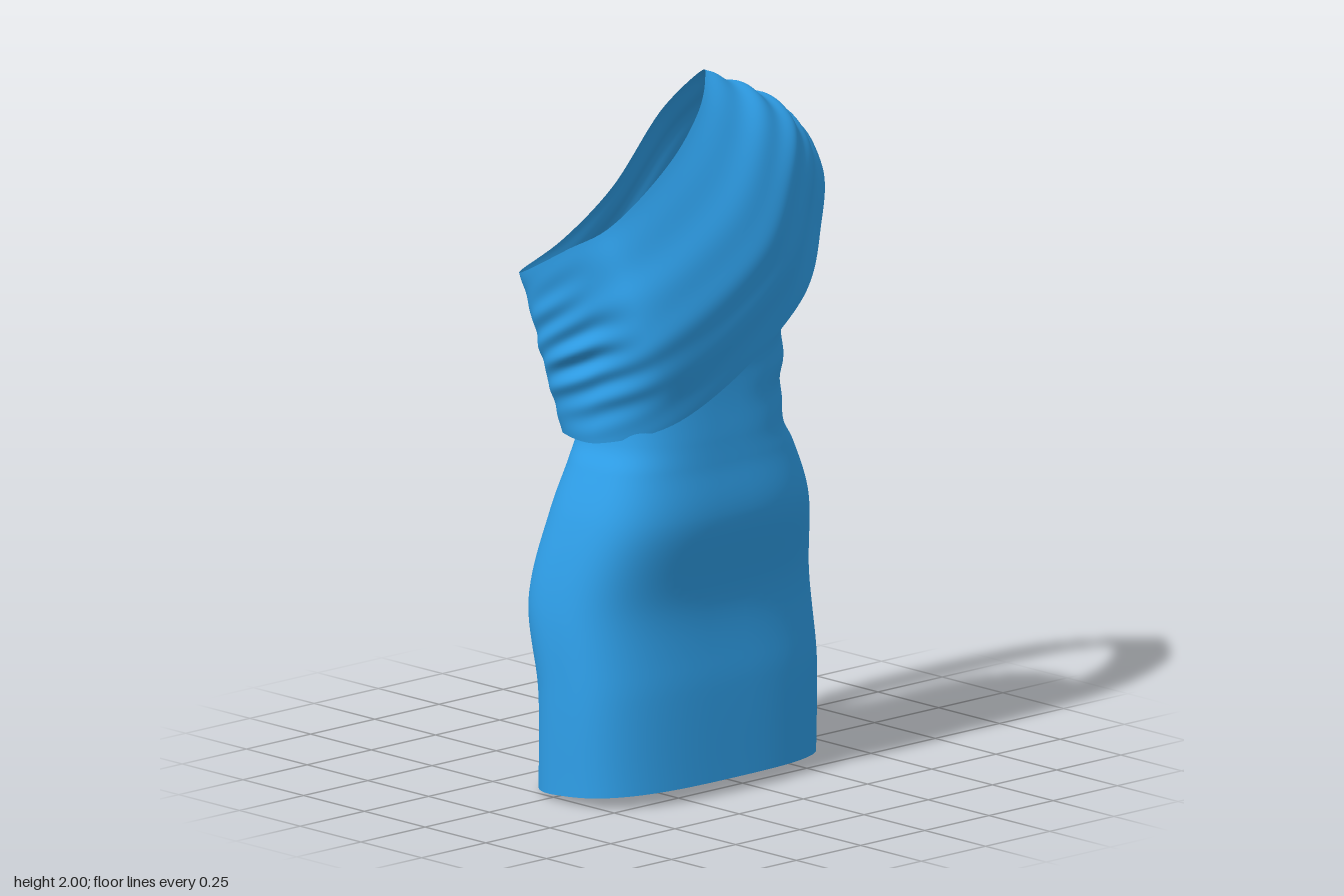
import * as THREE from 'three';

const cloth = new THREE.MeshStandardMaterial({ color: 0x2fa0ea, side: THREE.DoubleSide });

// Closed loft: point(u, v) for nu columns around and nv + 1 rows upward,
// then folds(u, v, p) pushes each vertex along its normal.
function loft(name, nu, nv, point, folds) {
  const pos = [], index = [];
  for (let j = 0; j <= nv; j++)
    for (let i = 0; i < nu; i++) pos.push(...point(i / nu, j / nv).toArray());
  for (let j = 0; j < nv; j++)
    for (let i = 0; i < nu; i++) {
      const a = j * nu + i, b = j * nu + (i + 1) % nu;
      index.push(a, a + nu, b, b, a + nu, b + nu);
    }
  const geo = new THREE.BufferGeometry();
  geo.setAttribute('position', new THREE.Float32BufferAttribute(pos, 3));
  geo.setIndex(index);
  geo.computeVertexNormals();
  const P = geo.attributes.position, N = geo.attributes.normal;
  const p = new THREE.Vector3(), n = new THREE.Vector3();
  for (let q = 0; q < P.count; q++) {
    p.fromBufferAttribute(P, q);
    n.fromBufferAttribute(N, q);
    p.addScaledVector(n, folds((q % nu) / nu, Math.floor(q / nu) / nv, p));
    P.setXYZ(q, p.x, p.y, p.z);
  }
  geo.computeVertexNormals();
  const mesh = new THREE.Mesh(geo, cloth);
  mesh.name = name;
  return mesh;
}

const bump = (x, centre, width) => Math.exp(-(((x - centre) / width) ** 2));

// Fitted skirt and bodice: height, right x, left x, front z, back z
const SECTIONS = [
  [0, -0.53, 0.37, 0.30, -0.20],
  [0.3, -0.533, 0.385, 0.283, -0.195],
  [0.55, -0.525, 0.38, 0.262, -0.25],
  [0.8, -0.475, 0.335, 0.30, -0.21],
  [0.95, -0.42, 0.28, 0.28, -0.17],
  [1.03, -0.385, 0.24, 0.27, -0.16],
  [1.2, -0.375, 0.25, 0.25, -0.14],
  [1.4, -0.39, 0.24, 0.255, -0.14],
  [1.55, -0.40, 0.21, 0.21, -0.14],
];

function buildBody() {
  const sizes = new THREE.CatmullRomCurve3(SECTIONS.map(s => new THREE.Vector3(s[0], s[1], s[2])));
  const depths = new THREE.CatmullRomCurve3(SECTIONS.map(s => new THREE.Vector3(s[0], s[3], s[4])));
  const power = (c, e) => Math.sign(c) * Math.abs(c) ** e;
  return loft('skirtAndBodice', 96, 88, (u, v) => {
    const s = sizes.getPoint(v), d = depths.getPoint(v), t = u * Math.PI * 2;
    // squarer across the front, rounder across the back
    const e = Math.sin(t) > 0 ? 0.68 : 0.88;
    const x = (s.y + s.z) / 2 + power(Math.cos(t), e) * (s.z - s.y) / 2;
    const z = (d.y + d.z) / 2 + power(Math.sin(t), e) * (d.y - d.z) / 2;
    // both edges sit slightly higher at the front
    const hem = 0.08 * (z + 0.2) * Math.max(0, 1 - s.x / 0.4);
    const top = 0.08 * (z - 0.1) * Math.max(0, (s.x - 1.3) / 0.25);
    return new THREE.Vector3(x, s.x + hem + top, z);
  }, (u, v, p) => 0.006 * bump(p.y, 1.17, 0.12) * bump(p.x, 0.25, 0.15)
    * Math.sin(p.y * 45 + p.z * 20));
}

// Shoulder drape ribs: neck edge, middle, lower edge,
// in order shoulder, front, right side, back
const RIBS = [
  [[0.17, 1.985, -0.10], [0.37, 1.885, -0.09], [0.525, 1.77, -0.08]],
  [[0.11, 1.995, -0.02], [0.34, 1.85, 0.08], [0.51, 1.67, 0.04]],
  [[-0.02, 1.935, 0.09], [0.20, 1.72, 0.21], [0.41, 1.54, 0.14]],
  [[-0.18, 1.82, 0.14], [0.03, 1.56, 0.275], [0.23, 1.37, 0.25]],
  [[-0.42, 1.67, 0.14], [-0.37, 1.36, 0.265], [-0.26, 1.10, 0.26]],
  [[-0.47, 1.60, 0.03], [-0.43, 1.32, 0.08], [-0.40, 1.03, 0.08]],
  [[-0.455, 1.50, -0.16], [-0.42, 1.26, -0.13], [-0.36, 1.02, -0.11]],
  [[-0.38, 1.47, -0.26], [-0.31, 1.23, -0.215], [-0.25, 0.99, -0.17]],
  [[-0.22, 1.53, -0.26], [-0.11, 1.28, -0.275], [-0.04, 1.02, -0.18]],
  [[-0.06, 1.66, -0.225], [0.06, 1.41, -0.29], [0.16, 1.16, -0.20]],
  [[0.09, 1.88, -0.17], [0.30, 1.73, -0.235], [0.46, 1.59, -0.155]],
];

function buildDrape() {
  const rails = [0, 1, 2].map(k =>
    new THREE.CatmullRomCurve3(RIBS.map(r => new THREE.Vector3(...r[k])), true));
  const NU = 160;
  const ribs = Array.from({ length: NU }, (_, i) =>
    new THREE.CatmullRomCurve3(rails.map(r => r.getPoint(i / NU))));
  return loft('shoulderDrape', NU, 64,
    (u, v) => ribs[Math.round(u * NU)].getPoint(1 - v),
    (u, v, p) => {
      // long folds over the shoulder and back, tight gathers at the right waist
      const edge = Math.sin(Math.PI * Math.min(v, 0.999)) ** 0.5;
      const long = 0.002 + 0.008 * bump(u, 0.83, 0.15) + 0.004 * bump(u, 0.04, 0.1);
      const gather = 0.01 * bump(u, 0.47, 0.07) * bump(p.y, 1.25, 0.18);
      const wave = Math.sin(v * 28 + 1.5 * Math.sin(u * Math.PI * 2));
      return edge * (long * wave + gather * Math.sin(v * 42 + u * 40));
    });
}

export function createModel() {
  const dress = new THREE.Group();
  dress.name = 'oneShoulderDress';
  dress.add(buildBody(), buildDrape());
  return dress;
}
